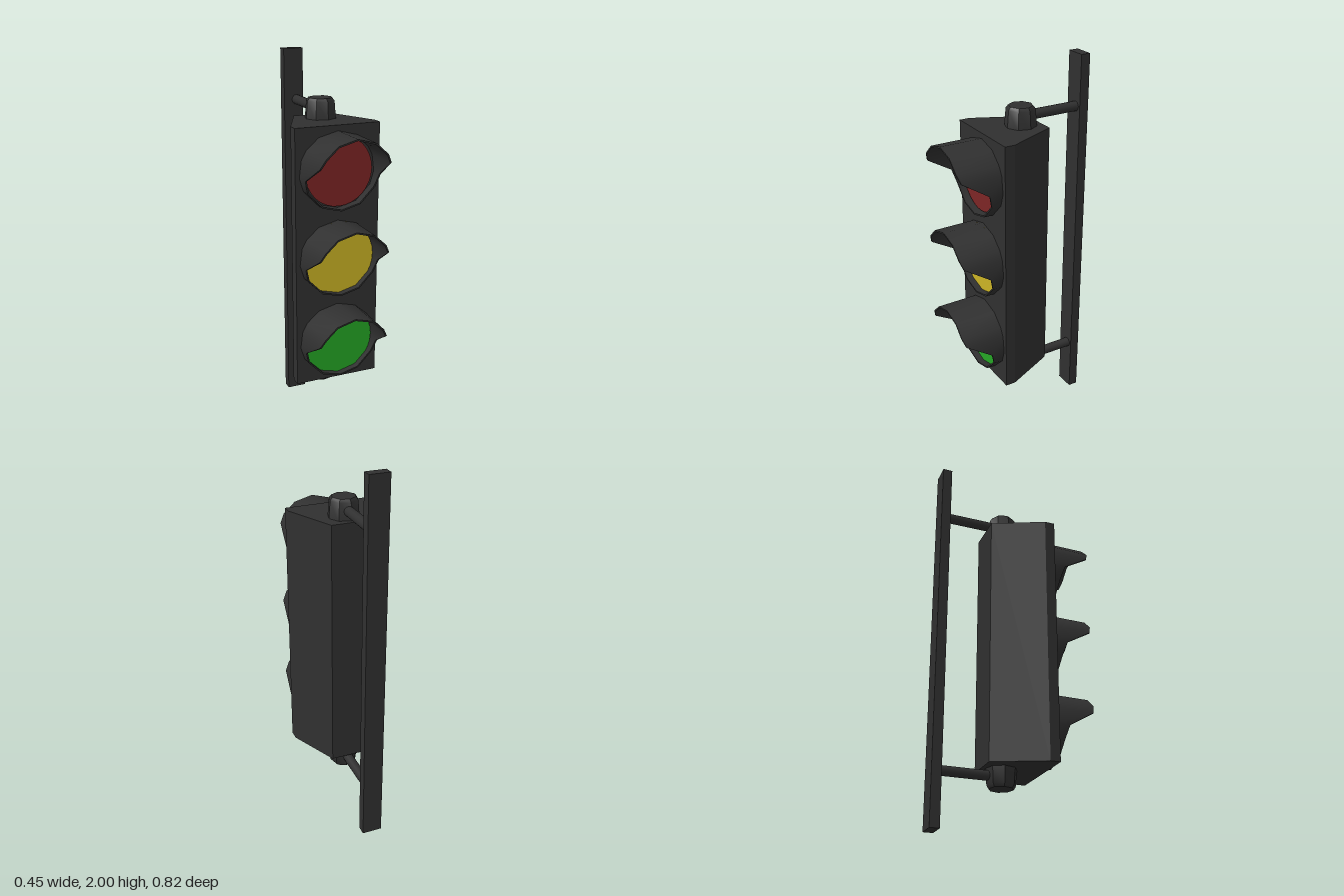
import * as THREE from 'three';
import { toCreasedNormals } from 'three/addons/utils/BufferGeometryUtils.js';

const mat = (name, color, side = THREE.FrontSide) => {
  const m = new THREE.MeshStandardMaterial({ color, side });
  m.name = name;
  return m;
};

// Hood open at the bottom front: each rim point is [angle in degrees, front z]
function visorGeometry() {
  const half = [[90, 0.41], [60, 0.41], [35, 0.41], [20, 0.395], [-6, 0.255], [-27, 0.235], [-60, 0.235], [-90, 0.235]];
  const mirrored = half.slice(1, -1).reverse().map(([a, z]) => [180 - a, z]);
  const rim = [...half, ...mirrored];
  const back = 0.18, wall = 0.008;
  const point = ([deg, front], inner, atFront) => {
    const a = THREE.MathUtils.degToRad(deg);
    const z = atFront ? front : back;
    const t = (z - back) / 0.23;
    const rx = 0.206 - 0.009 * t - (inner ? wall : 0);
    const ry = 0.197 - (inner ? wall : 0);
    return [Math.cos(a) * rx, Math.sin(a) * ry, z];
  };
  const pos = [];
  const quad = (a, b, c, d) => pos.push(...a, ...b, ...c, ...a, ...c, ...d);
  rim.forEach((p, i) => {
    const q = rim[(i + 1) % rim.length];
    const loop = [[false, false], [false, true], [true, true], [true, false]];
    for (let k = 0; k < 3; k++) {
      const [s, e] = [loop[k], loop[k + 1]];
      quad(point(p, ...s), point(p, ...e), point(q, ...e), point(q, ...s));
    }
  });
  const g = new THREE.BufferGeometry();
  g.setAttribute('position', new THREE.Float32BufferAttribute(pos, 3));
  return toCreasedNormals(g, 0.7);
}

export function createModel() {
  const root = new THREE.Group();
  root.name = 'trafficLight';
  const dark = mat('charcoal', 0x303030);
  const hood = mat('charcoalHood', 0x303030, THREE.DoubleSide);
  const add = (name, geometry, material, x = 0, y = 0, z = 0) => {
    const mesh = new THREE.Mesh(geometry, material);
    mesh.name = name;
    mesh.position.set(x, y, z);
    root.add(mesh);
    return mesh;
  };

  // Flat mounting pole
  add('pole', new THREE.BoxGeometry(0.107, 2, 0.051), dark, -0.016, 1, -0.385);

  // Housing, narrowing towards the back
  const plan = new THREE.Shape([
    [-0.226, -0.186], [0.226, -0.186], [0.226, -0.132], [0.104, 0.136], [-0.104, 0.136], [-0.226, -0.132],
  ].map(([x, y]) => new THREE.Vector2(x, y)));
  const body = new THREE.ExtrudeGeometry(plan, { depth: 1.355, bevelEnabled: false });
  body.rotateX(-Math.PI / 2);
  add('housing', body, dark, 0, 0.33, 0);

  // End caps and the bars that join them to the pole
  const capProfile = [[0.082, -0.01], [0.074, 0.088], [0.062, 0.103], [0, 0.103]]
    .map(([x, y]) => new THREE.Vector2(x, y));
  const cap = toCreasedNormals(new THREE.LatheGeometry(capProfile, 8, 0.12), 0.6);
  const bar = new THREE.CylinderGeometry(0.026, 0.026, 0.33, 12);
  bar.rotateX(Math.PI / 2);
  add('topCap', cap, dark, 0, 1.685, -0.034);
  add('bottomCap', cap, dark, 0, 0.333, -0.034).rotation.x = Math.PI;
  add('topBar', bar, dark, 0, 1.73, -0.2);
  add('bottomBar', bar, dark, 0, 0.293, -0.2);

  // Three lamps, each a lens inside a hood
  const visor = visorGeometry();
  const lamps = [
    ['red', 0x7d2525, 1.46, 0.179],
    ['yellow', 0xcbb425, 1.008, 0.192],
    ['green', 0x25a625, 0.555, 0.19],
  ];
  for (const [name, color, y, r] of lamps) {
    add(name + 'Visor', visor, hood, 0, y, 0);
    add(name + 'Lens', new THREE.CircleGeometry(r, 32), mat(name, color), 0, y, 0.2);
  }
  return root;
}
